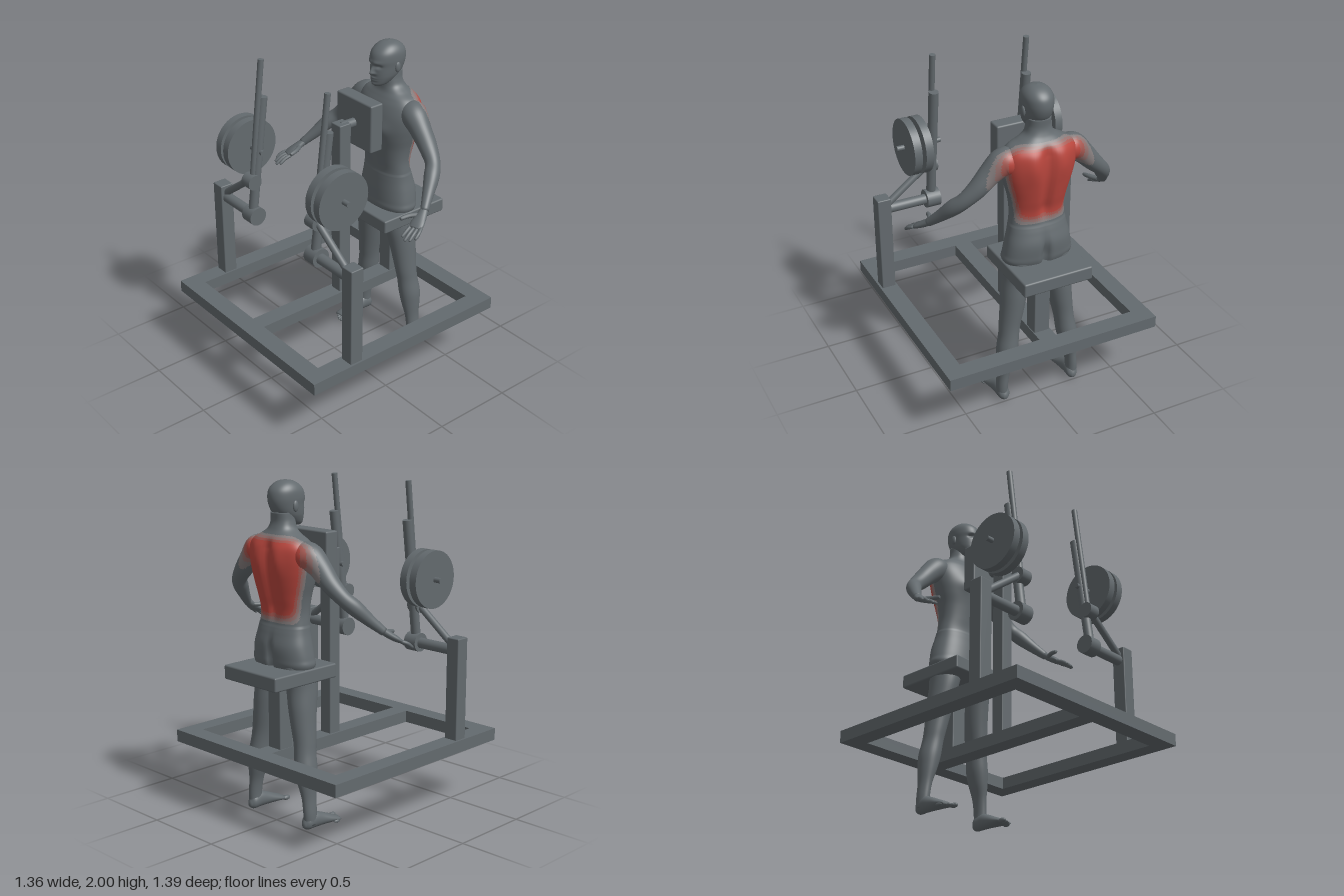
import * as THREE from 'three';
import { RoundedBoxGeometry } from 'three/addons/geometries/RoundedBoxGeometry.js';

const mat = (name, color) => {
  const m = new THREE.MeshStandardMaterial({ color });
  m.name = name;
  return m;
};
const X = new THREE.Vector3(1, 0, 0), Y = new THREE.Vector3(0, 1, 0), Z = new THREE.Vector3(0, 0, 1);
const V = (a) => new THREE.Vector3(...a);
const step = THREE.MathUtils.smoothstep;
const bell = (d, w) => Math.exp(-((d / w) ** 2));

// Closed skin through rows [x, y, z, radiusU, radiusV], smoothly interpolated
function loft(rows, { n = 24, sub = 5, axis = null, ref = Z, power = 1, deform = null } = {}) {
  const curve = new THREE.CubicInterpolant(rows.map((_, i) => i), rows.flat(), 5, new Float32Array(5));
  const last = rows.length - 1, count = last * sub;
  const at = (t) => Array.from(curve.evaluate(THREE.MathUtils.clamp(t, 0, last)));
  const pos = [], idx = [];
  const bend = (c) => Math.sign(c) * Math.abs(c) ** power;
  const put = (p) => { if (deform) deform(p); pos.push(p.x, p.y, p.z); };
  for (let i = 0; i <= count; i++) {
    const t = i / sub, r = at(t), c = V(r.slice(0, 3));
    const T = axis ? axis.clone()
      : V(at(t + 0.1).slice(0, 3)).sub(V(at(t - 0.1).slice(0, 3))).normalize();
    const U = T.clone().cross(ref).normalize(), W = U.clone().cross(T);
    for (let j = 0; j < n; j++) {
      const a = (j / n) * Math.PI * 2;
      put(c.clone().addScaledVector(U, Math.max(r[3], 0.0005) * bend(Math.cos(a)))
        .addScaledVector(W, Math.max(r[4], 0.0005) * bend(Math.sin(a))));
      if (i === count) continue;
      const k = i * n + j, m = i * n + ((j + 1) % n);
      idx.push(k, k + n, m, m, k + n, m + n);
    }
  }
  const base = (count + 1) * n;
  put(V(rows[0].slice(0, 3)));
  put(V(rows[last].slice(0, 3)));
  for (let j = 0; j < n; j++) {
    const k = (j + 1) % n;
    idx.push(base, j, k, base + 1, count * n + k, count * n + j);
  }
  const g = new THREE.BufferGeometry();
  g.setAttribute('position', new THREE.Float32BufferAttribute(pos, 3));
  g.setIndex(idx);
  g.computeVertexNormals();
  return g;
}

// Sort faces into material groups by a zone rule on the face centre
function zoneGroups(g, zone, total) {
  const bins = Array.from({ length: total }, () => []), p = g.attributes.position, ix = g.index.array;
  const a = new THREE.Vector3(), c = new THREE.Vector3();
  for (let i = 0; i < ix.length; i += 3) {
    c.set(0, 0, 0);
    for (let k = 0; k < 3; k++) c.add(a.fromBufferAttribute(p, ix[i + k]));
    bins[zone(c.divideScalar(3))].push(ix[i], ix[i + 1], ix[i + 2]);
  }
  g.setIndex(bins.flat());
  let start = 0;
  bins.forEach((b, m) => { if (b.length) g.addGroup(start, b.length, m); start += b.length; });
  return g;
}

// Strength of the highlighted back muscles, as a band number
function backZone({ x, y, z }) {
  const f = step(y, 1.18, 1.29) * (1 - step(y, 1.635, 1.715)) * step(-z, 0.43, 0.51)
    * (1 - step(Math.abs(x), 0.09, 0.42));
  return f > 0.65 ? 4 : f > 0.42 ? 3 : f > 0.22 ? 2 : f > 0.07 ? 1 : 0;
}

function shapeTorso(p) {
  const ax = Math.abs(p.x), { y } = p;
  if (p.z < -0.44) {
    p.z += 0.026 * bell(p.x, 0.03) * step(y, 1.18, 1.3) * (1 - step(y, 1.62, 1.7));
    p.z -= 0.012 * bell(ax - 0.09, 0.04) * bell(y - 1.57, 0.09);
    p.z += 0.04 * bell(p.x, 0.018) * bell(y - 0.99, 0.09);
  } else if (p.z > -0.38) {
    p.z += 0.012 * bell(ax - 0.085, 0.05) * bell(y - 1.49, 0.05);
    p.z -= 0.008 * bell(p.x, 0.014) * step(y, 1.2, 1.3) * (1 - step(y, 1.55, 1.62));
  }
  if (y < 1.18) { p.x *= 1.018; p.z = -0.42 + (p.z + 0.42) * 1.018; }
}

function shapeFace(p) {
  if (p.z < -0.36) return;
  const ax = Math.abs(p.x), { y } = p;
  p.z += 0.026 * bell(p.x, 0.011 + 0.006 * bell(y - 1.82, 0.012)) * step(y, 1.808, 1.826) * (1 - step(y, 1.822, 1.885));
  p.z -= 0.013 * bell(ax - 0.034, 0.017) * bell(y - 1.866, 0.011);
  p.z += 0.006 * bell(ax - 0.025, 0.03) * bell(y - 1.888, 0.012);
  p.z += 0.007 * bell(p.x, 0.024) * (bell(y - 1.793, 0.006) + bell(y - 1.779, 0.006));
  p.z += 0.006 * bell(p.x, 0.025) * bell(y - 1.755, 0.01);
}

export function createModel() {
  const grey = mat('steel grey', 0x636a6e);
  const tones = [grey, mat('pale rose', 0x857d7d), mat('rose grey', 0x95716e),
    mat('soft red', 0xa85a53), mat('muscle red', 0xb9463d)];
  const model = new THREE.Group();
  const group = (name) => { const g = new THREE.Group(); g.name = name; model.add(g); return g; };
  const add = (parent, name, geo, material = grey) => {
    const m = new THREE.Mesh(geo, material);
    m.name = name;
    parent.add(m);
    return m;
  };
  // Box from its min and max corners
  const box = (parent, name, a, b, r = 0.006) => {
    const size = b.map((v, i) => v - a[i]);
    add(parent, name, new RoundedBoxGeometry(...size, 2, r)).position.set(...b.map((v, i) => (v + a[i]) / 2));
  };
  // Round bar between two points
  const bar = (parent, name, a, b, r, seg = 28) => {
    const d = V(b).sub(V(a));
    const m = add(parent, name, new THREE.CylinderGeometry(r, r, d.length(), seg));
    m.position.copy(V(a)).addScaledVector(d, 0.5);
    m.quaternion.setFromUnitVectors(Y, d.normalize());
  };
  const ball = (parent, name, p, s) => {
    const m = add(parent, name, new THREE.SphereGeometry(1, 20, 14));
    m.position.set(...p);
    m.scale.set(...s);
  };

  // Base frame with two openings
  const machine = group('machine');
  const rect = (path, x0, x1, y0, y1) => path.moveTo(x0, y0).lineTo(x1, y0).lineTo(x1, y1).lineTo(x0, y1).closePath();
  const outline = rect(new THREE.Shape(), -0.68, 0.68, -0.692, 0.692);
  for (const s of [0, 1]) {
    outline.holes.push(rect(new THREE.Path(), s ? 0.055 : -0.57, s ? 0.57 : -0.055, -0.58, 0.58));
  }
  const base = new THREE.ExtrudeGeometry(outline, { depth: 0.074, bevelEnabled: false });
  add(machine, 'baseFrame', base.rotateX(-Math.PI / 2).translate(0, 0.374, 0));

  // Chest support and seat
  box(machine, 'chestPost', [-0.041, 0.44, -0.093], [0.041, 1.575, -0.01]);
  bar(machine, 'padConnector', [0, 1.55, -0.05], [0, 1.55, -0.16], 0.028);
  box(machine, 'chestPad', [-0.155, 1.4, -0.236], [0.155, 1.7, -0.145], 0.01);
  box(machine, 'seatPost', [-0.05, 0.44, -0.51], [0.05, 0.87, -0.41]);
  box(machine, 'seat', [-0.217, 0.86, -0.696], [0.217, 0.945, -0.217], 0.01);

  // Mirrored lever assemblies
  for (const s of [-1, 1]) {
    const lever = group(s > 0 ? 'leftLever' : 'rightLever');
    box(lever, 'sidePost', [s * 0.624 - 0.043, 0.44, 0.332], [s * 0.624 + 0.043, 1.065, 0.418]);
    bar(lever, 'pivotTube', [s * 0.6, 0.983, 0.375], [s * 0.32, 0.983, 0.375], 0.032);
    bar(lever, 'lowerHub', [s * 0.345, 0.985, 0.375], [s * 0.258, 0.985, 0.375], 0.057);
    bar(lever, 'upperHub', [s * 0.34, 1.213, 0.383], [s * 0.265, 1.213, 0.383], 0.047);
    bar(lever, 'brace', [s * 0.6, 1.005, 0.375], [s * 0.31, 1.222, 0.38], 0.022);
    bar(lever, 'leverSleeve', [s * 0.302, 1.73, 0.285], [s * 0.302, 1.02, 0.378], 0.029);
    bar(lever, 'leverHandle', [s * 0.302, 1.96, 0.289], [s * 0.302, 1.2, 0.378], 0.018);
    bar(lever, 'plateBar', [s * 0.532, 1.394, 0.326], [s * 0.255, 1.394, 0.326], 0.016);
    for (const x of [0.463, 0.391]) {
      bar(lever, 'weightPlate', [s * (x - 0.024), 1.394, 0.326], [s * (x + 0.024), 1.394, 0.326], 0.172, 64);
    }
  }

  // Torso and neck, rows as height, half width, front z, back z
  const figure = group('figure');
  const slice = ([y, w, f, b]) => [0, y, (f + b) / 2, w, (f - b) / 2];
  const torso = loft([
    [0.87, 0.15, -0.34, -0.5], [0.95, 0.208, -0.308, -0.535], [1.0, 0.205, -0.308, -0.543],
    [1.07, 0.192, -0.312, -0.545], [1.14, 0.176, -0.318, -0.528], [1.2, 0.168, -0.322, -0.512],
    [1.27, 0.164, -0.312, -0.515], [1.35, 0.174, -0.298, -0.535], [1.43, 0.195, -0.283, -0.552],
    [1.5, 0.212, -0.278, -0.562], [1.57, 0.222, -0.288, -0.564], [1.63, 0.215, -0.31, -0.558],
    [1.67, 0.185, -0.333, -0.54], [1.7, 0.128, -0.35, -0.518], [1.73, 0.085, -0.357, -0.5],
    [1.77, 0.07, -0.36, -0.488], [1.82, 0.066, -0.365, -0.49],
  ].map(slice), { n: 88, sub: 8, axis: Y, power: 0.86, deform: shapeTorso });
  add(figure, 'torso', zoneGroups(torso, backZone, 5), tones);

  // Head with modelled face
  add(figure, 'head', loft([
    [1.738, 0.022, -0.303, -0.345], [1.755, 0.047, -0.292, -0.4], [1.79, 0.067, -0.288, -0.455],
    [1.82, 0.076, -0.286, -0.488], [1.86, 0.082, -0.286, -0.508], [1.9, 0.086, -0.283, -0.515],
    [1.94, 0.083, -0.295, -0.508], [1.97, 0.067, -0.323, -0.484], [1.99, 0.04, -0.36, -0.448],
    [1.998, 0.001, -0.404, -0.406],
  ].map(slice), { n: 96, sub: 9, axis: Y, power: 0.95, deform: shapeFace }));

  for (const s of [-1, 1]) {
    const side = s > 0 ? 'left' : 'right';
    const m = (rows) => rows.map(([x, ...r]) => [s * x, ...r]);
    ball(figure, side + 'Ear', [s * 0.084, 1.855, -0.405], [0.011, 0.032, 0.019]);

    // Arm from shoulder to wrist
    const arm = loft(m([
      [0.13, 1.6, -0.445, 0.05, 0.05], [0.18, 1.595, -0.435, 0.078, 0.078], [0.225, 1.582, -0.422, 0.078, 0.078],
      [0.29, 1.525, -0.412, 0.064, 0.064], [0.36, 1.45, -0.405, 0.054, 0.056], [0.43, 1.38, -0.382, 0.045, 0.045],
      [0.475, 1.325, -0.335, 0.046, 0.046], [0.52, 1.255, -0.27, 0.035, 0.035], [0.567, 1.185, -0.2, 0.024, 0.024],
    ]), { n: 40, sub: 8 });
    add(figure, side + 'Arm', zoneGroups(arm, backZone, 5), tones);

    // Hand with fingers and thumb
    const hand = group(side + 'Hand');
    add(hand, 'palm', loft(m([[0.56, 1.195, -0.21, 0.023, 0.021], [0.578, 1.162, -0.165, 0.034, 0.021],
      [0.59, 1.138, -0.128, 0.043, 0.018], [0.598, 1.12, -0.1, 0.039, 0.012]]), { ref: Y }));
    const digits = [
      [[0.565, 1.124, -0.105], [0.573, 1.108, -0.065], [0.575, 1.085, -0.03]],
      [[0.589, 1.122, -0.107], [0.6, 1.103, -0.06], [0.605, 1.075, -0.022]],
      [[0.611, 1.122, -0.11], [0.625, 1.106, -0.07], [0.632, 1.08, -0.035]],
      [[0.628, 1.126, -0.122], [0.645, 1.112, -0.09], [0.652, 1.09, -0.06]],
      [[0.558, 1.168, -0.17], [0.528, 1.166, -0.12], [0.516, 1.16, -0.07]],
    ];
    digits.forEach(([a, b, c], i) => {
      const r = i === 4 ? 0.014 : 0.011, tip = V(c).lerp(V(b), -0.12).toArray();
      add(hand, i === 4 ? 'thumb' : 'finger', loft(m([[...a, r, r], [...b, r, r], [...c, r * 0.8, r * 0.8],
        [...tip, 0.002, 0.002]]), { n: 12, sub: 4, ref: Y }));
    });

    // Leg from ankle to hip
    add(figure, side + 'Leg', loft(m([
      [0.237, 0.03, -0.455, 0.034, 0.04], [0.237, 0.1, -0.455, 0.034, 0.044], [0.227, 0.19, -0.453, 0.037, 0.048],
      [0.212, 0.28, -0.452, 0.053, 0.062], [0.2, 0.36, -0.45, 0.063, 0.07], [0.186, 0.45, -0.442, 0.06, 0.067],
      [0.176, 0.52, -0.435, 0.063, 0.07], [0.16, 0.62, -0.43, 0.07, 0.079], [0.146, 0.72, -0.423, 0.077, 0.089],
      [0.132, 0.82, -0.413, 0.083, 0.097], [0.118, 0.9, -0.418, 0.09, 0.105], [0.105, 1.0, -0.43, 0.08, 0.095],
    ]), { n: 36, axis: Y }));

    // Foot and toes
    const foot = group(side + 'Foot');
    add(foot, 'sole', loft(m([
      [0.234, 0.032, -0.505, 0.012, 0.014], [0.234, 0.044, -0.48, 0.034, 0.042], [0.236, 0.052, -0.43, 0.037, 0.05],
      [0.236, 0.042, -0.37, 0.04, 0.04], [0.237, 0.029, -0.31, 0.047, 0.027], [0.237, 0.019, -0.262, 0.05, 0.017],
      [0.238, 0.015, -0.243, 0.044, 0.01],
    ]), { axis: Z, ref: Y, n: 28 }));
    for (let i = 0; i < 5; i++) {
      const r = i ? 0.0105 : 0.015;
      ball(foot, 'toe', [s * (0.198 + i * 0.0195 + (i ? 0.004 : 0)), r, -0.237 - 0.0025 * i * i], [r, r, 0.028 - i * 0.001]);
    }
  }
  return model;
}
